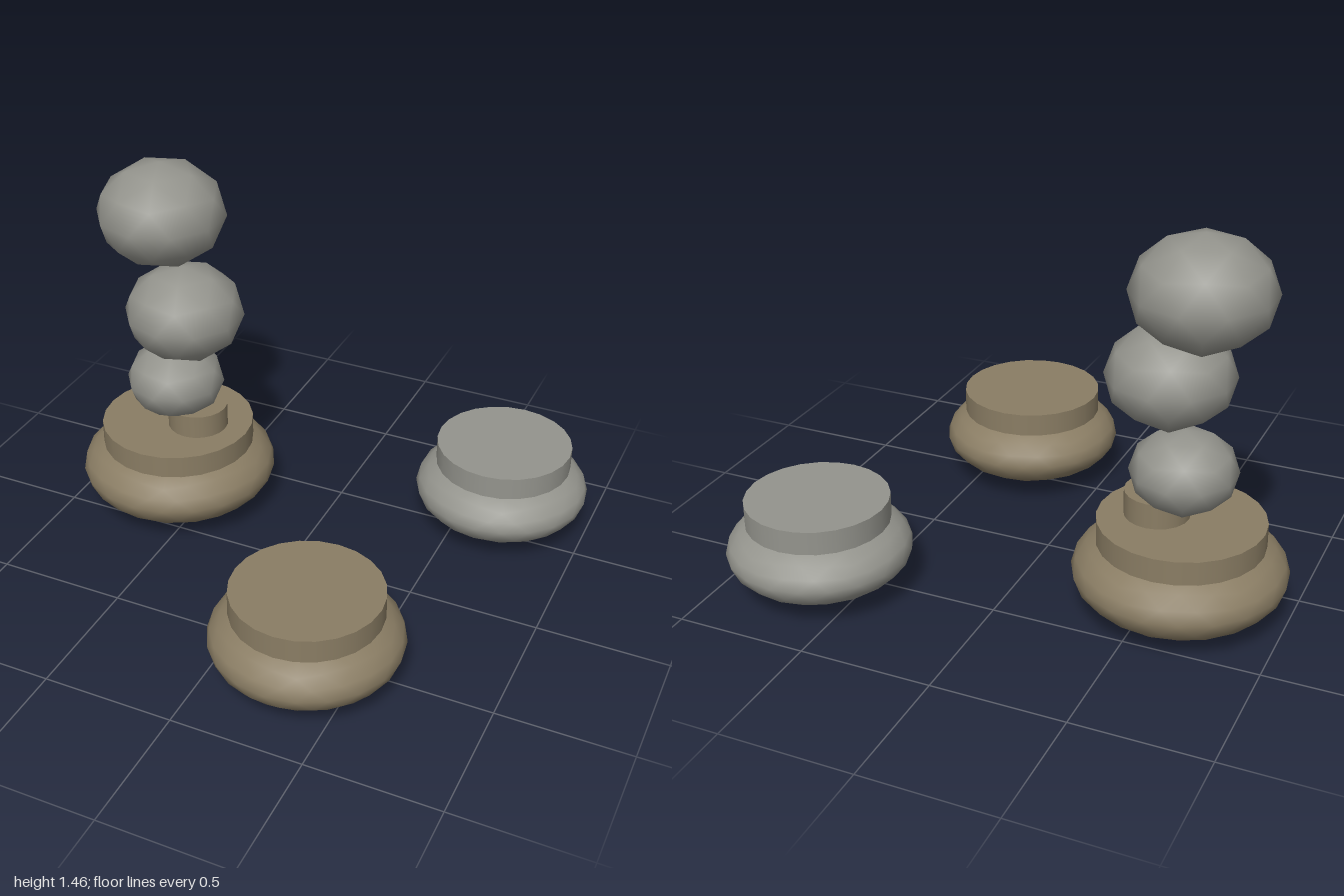
import * as THREE from 'three';

export function createModel() {
  const root = new THREE.Group();
  const brown = new THREE.MeshStandardMaterial({ color: 0x8a7d64 });
  brown.name = 'brown stone';
  const grey = new THREE.MeshStandardMaterial({ color: 0x94948d });
  grey.name = 'grey stone';

  function add(parent, geometry, material, name, x, y, z) {
    const mesh = new THREE.Mesh(geometry, material);
    mesh.name = name;
    mesh.position.set(x, y, z);
    parent.add(mesh);
    return mesh;
  }

  // faceted ball with one corner straight up, squashed to an ellipsoid
  function ball(rx, ry, rz, detail) {
    const g = new THREE.IcosahedronGeometry(1, detail);
    g.rotateZ(-Math.atan(2 / (1 + Math.sqrt(5))));
    g.scale(rx, ry, rz);
    return g;
  }

  // wide flat boulder with a disc resting on top
  function steppingStone(name, material, x, z, r, bottom, discR) {
    const group = new THREE.Group();
    group.name = name;
    group.position.set(x, 0, z);
    const ry = 0.175 - bottom;
    add(group, ball(r, ry, r, 3), material, 'boulder', 0, 0.175, 0);
    add(group, new THREE.CylinderGeometry(discR, discR, 0.09, 24), material, 'topDisc', 0, 0.33, 0);
    root.add(group);
    return group;
  }

  const base = steppingStone('stackBase', brown, -0.61, -0.22, 0.392, 0.0, 0.305);
  steppingStone('frontStone', brown, 0.325, 0.577, 0.355, 0.017, 0.278);
  steppingStone('backStone', grey, 0.655, -0.597, 0.342, 0.024, 0.266);

  // short peg on the base
  add(base, new THREE.CylinderGeometry(0.12, 0.12, 0.12, 20), brown, 'peg', 0.093, 0.41, 0);

  // balanced pebbles, bottom to top: x, y, z, radius, half height
  [
    [-0.61, 0.565, -0.218, 0.195, 0.155],
    [-0.537, 0.9, -0.18, 0.233, 0.19],
    [-0.668, 1.255, -0.265, 0.253, 0.205],
  ].forEach(([x, y, z, r, h], i) => {
    add(root, ball(r, h, r, 1), grey, 'pebble' + (i + 1), x, y, z);
  });

  return root;
}
